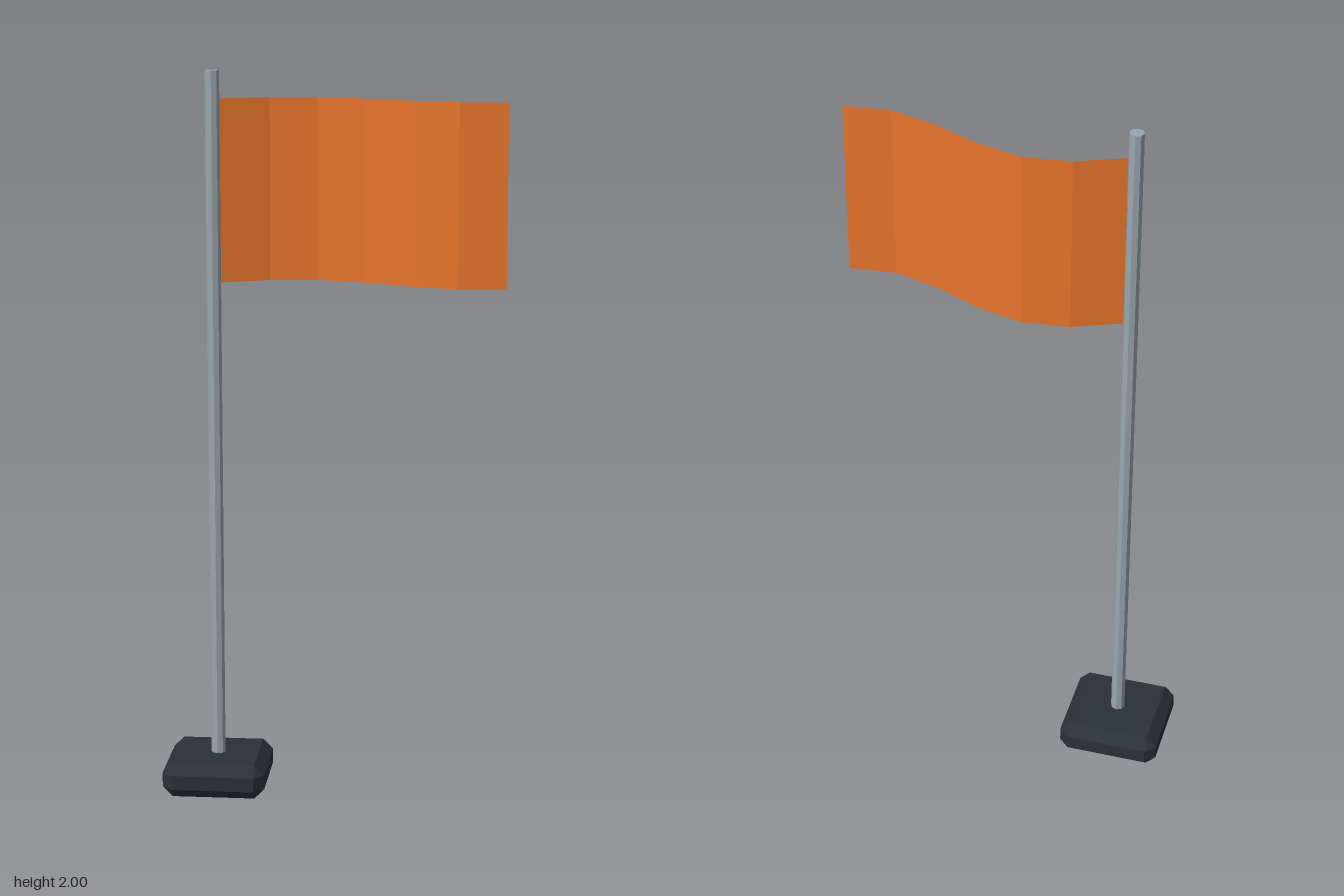
import * as THREE from 'three';
import { ConvexGeometry } from 'three/addons/geometries/ConvexGeometry.js';

const POLE_X = -0.325;

function part(name, geometry, color, side = THREE.FrontSide) {
  const material = new THREE.MeshStandardMaterial({ color, flatShading: true, side });
  const mesh = new THREE.Mesh(geometry, material);
  mesh.name = name;
  return mesh;
}

// Box with every edge and corner cut off by c
function chamferedBox(w, h, d, c) {
  const half = [w / 2, h / 2, d / 2];
  const points = [];
  for (const sx of [-1, 1]) for (const sy of [-1, 1]) for (const sz of [-1, 1]) {
    for (let axis = 0; axis < 3; axis++) {
      const [x, y, z] = half.map((v, i) => (i === axis ? v : v - c));
      points.push(new THREE.Vector3(sx * x, sy * y, sz * z));
    }
  }
  return new ConvexGeometry(points);
}

// Thin sheet rippling away from the pole
function wavingSheet(x0, x1, y0, y1) {
  const width = x1 - x0;
  const geometry = new THREE.PlaneGeometry(width, y1 - y0, 6, 1);
  geometry.translate((x0 + x1) / 2, (y0 + y1) / 2, 0);
  const pos = geometry.attributes.position;
  for (let i = 0; i < pos.count; i++) {
    const t = (pos.getX(i) - x0) / width;
    pos.setZ(i, -0.07 * Math.sin(t * Math.PI * 1.7));
  }
  geometry.computeVertexNormals();
  return geometry;
}

export function createModel() {
  const group = new THREE.Group();
  group.name = 'flagOnPole';

  const base = part('base', chamferedBox(0.284, 0.096, 0.284, 0.028), 0x2b3038);
  base.position.set(POLE_X, 0.048, 0);

  const pole = part('pole', new THREE.CylinderGeometry(0.02, 0.02, 1.92, 8), 0x9aa5ad);
  pole.position.set(POLE_X, 1.04, 0);

  const flag = part('flag', wavingSheet(-0.305, 0.467, 1.43, 1.925), 0xe8752c, THREE.DoubleSide);

  group.add(base, pole, flag);
  return group;
}
